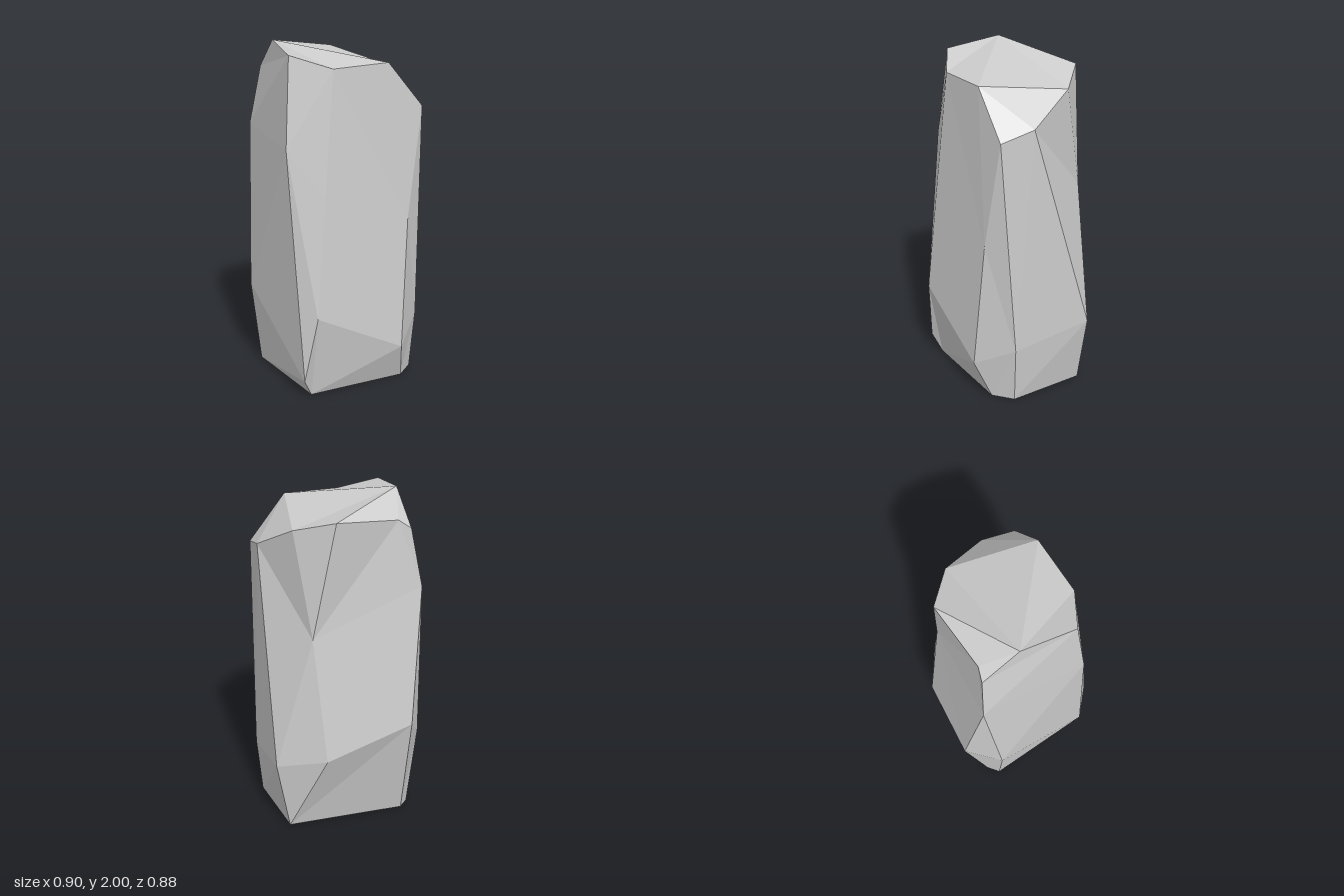
import * as THREE from 'three';

// Cross-sections of the stone, bottom to top. Each runs counter-clockwise seen
// from above, starting at the front; repeated corners merge two columns.
const rings = [
  // base
  [[0.26, 0, 0.35], [0.37, 0, 0.26], [0.37, 0, -0.2], [0.37, 0, -0.2],
    [-0.33, 0, -0.3], [-0.395, 0, -0.25], [-0.335, 0, 0.35], [-0.335, 0, 0.35]],
  // lower bulge
  [[0.21, 0.23, 0.44], [0.4, 0.35, 0.27], [0.45, 0.43, -0.205], [0.2, 0.49, -0.376],
    [-0.31, 0.66, -0.445], [-0.45, 0.5, -0.263], [-0.395, 0.11, 0.39], [-0.33, 0.5, 0.435]],
  // shoulder
  [[0.265, 1.0, 0.39], [0.37, 1.64, 0.345], [0.4, 1.69, 0.147], [0.24, 1.23, -0.267],
    [-0.395, 1.48, -0.352], [-0.395, 1.48, -0.352], [-0.44, 1.45, 0.273], [-0.26, 1.2, 0.39]],
  // rim of the top
  [[0.15, 1.9, 0.345], [0.15, 1.9, 0.345], [0.3, 1.84, -0.14], [0.12, 1.91, -0.32],
    [-0.265, 1.87, -0.295], [-0.335, 1.82, -0.317], [-0.395, 1.96, 0.22], [-0.19, 1.89, 0.345]],
];
const peak = [-0.35, 2, -0.1];
const baseCentre = [0, 0, 0];

// Which way each quad of a band is split: 1 = lower right to upper left
const splits = ['00000000', '10010010', '01100001'];

function stoneGeometry() {
  const positions = [];
  const same = (p, q) => p.every((v, i) => v === q[i]);
  const tri = (a, b, c) => {
    if (!same(a, b) && !same(b, c) && !same(c, a)) positions.push(...a, ...b, ...c);
  };
  const n = rings[0].length;

  for (let i = 0; i < n; i++) {
    const j = (i + 1) % n;
    // sides
    splits.forEach((split, k) => {
      const lo = rings[k], hi = rings[k + 1];
      if (split[i] === '1') {
        tri(lo[i], lo[j], hi[i]);
        tri(lo[j], hi[j], hi[i]);
      } else {
        tri(lo[i], lo[j], hi[j]);
        tri(lo[i], hi[j], hi[i]);
      }
    });
    // top and underside
    tri(rings[3][i], rings[3][j], peak);
    tri(rings[0][j], rings[0][i], baseCentre);
  }

  const geometry = new THREE.BufferGeometry();
  geometry.setAttribute('position', new THREE.Float32BufferAttribute(positions, 3));
  geometry.computeVertexNormals();
  return geometry;
}

export function createModel() {
  const group = new THREE.Group();
  group.name = 'standingStone';
  const stone = new THREE.Mesh(
    stoneGeometry(),
    new THREE.MeshStandardMaterial({ color: 0xcccccc, flatShading: true }),
  );
  stone.name = 'stone';
  group.add(stone);
  return group;
}
